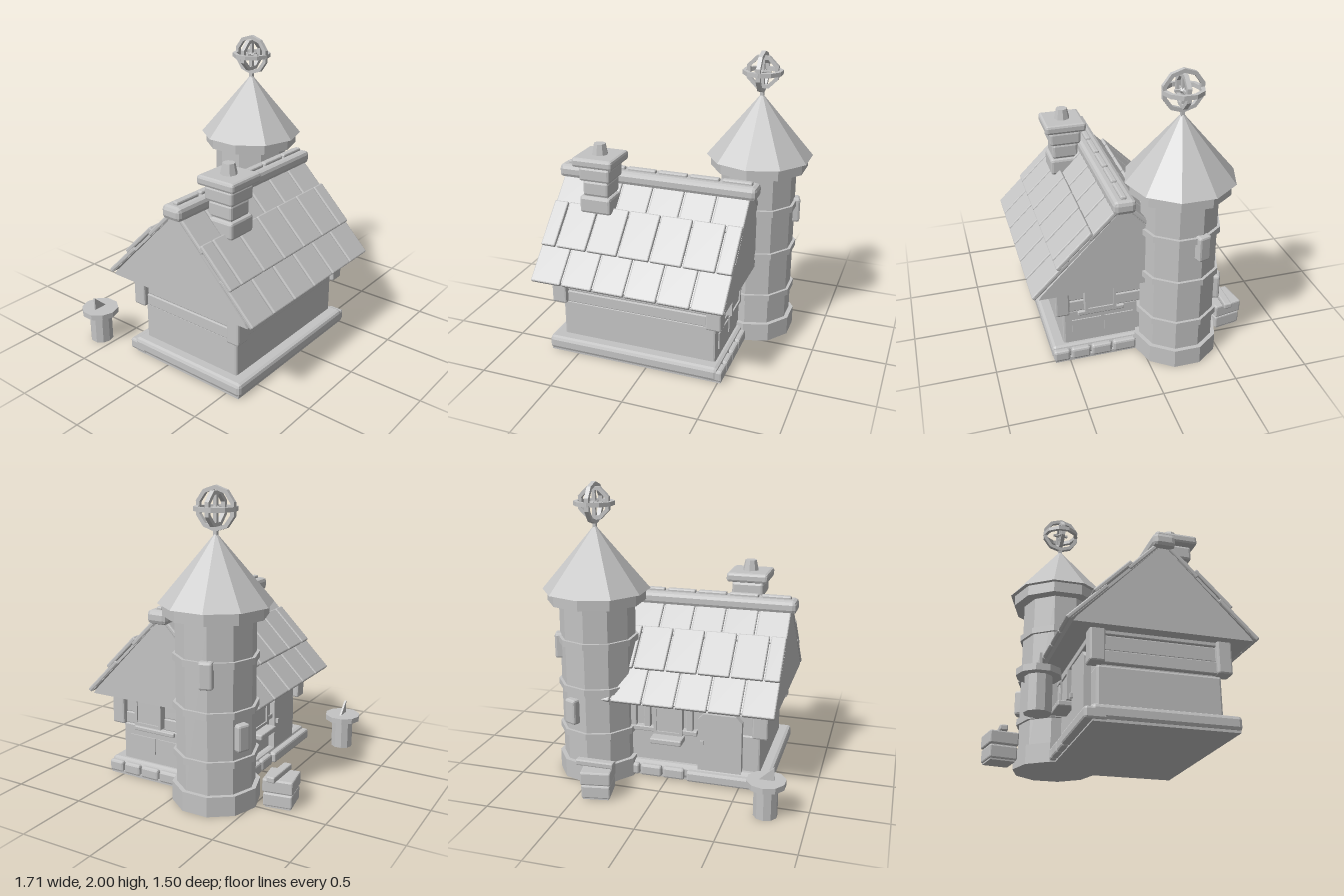
import * as THREE from 'three';
import { RoundedBoxGeometry } from 'three/addons/geometries/RoundedBoxGeometry.js';

const stone = new THREE.MeshStandardMaterial({ color: 0xc4c4c4, flatShading: true });
stone.name = 'plain grey';

function add(parent, name, geometry, x = 0, y = 0, z = 0) {
  const mesh = new THREE.Mesh(geometry, stone);
  mesh.name = name;
  mesh.position.set(x, y, z);
  parent.add(mesh);
  return mesh;
}
function group(parent, name, x = 0, y = 0, z = 0) {
  const g = new THREE.Group();
  g.name = name;
  g.position.set(x, y, z);
  parent.add(g);
  return g;
}
// Box given by its limits, with chamfered edges when bevel > 0
function block(parent, name, x0, x1, y0, y1, z0, z1, bevel = 0) {
  const size = [x1 - x0, y1 - y0, z1 - z0];
  const geo = bevel ? new RoundedBoxGeometry(...size, 1, bevel) : new THREE.BoxGeometry(...size);
  return add(parent, name, geo, (x0 + x1) / 2, (y0 + y1) / 2, (z0 + z1) / 2);
}
// Faceted drum between two heights
function drum(parent, name, rTop, rBottom, y0, y1, sides = 10) {
  return add(parent, name, new THREE.CylinderGeometry(rTop, rBottom, y1 - y0, sides), 0, (y0 + y1) / 2, 0);
}

function buildTower(root) {
  const tower = group(root, 'tower', 0.51, 0, -0.24);
  drum(tower, 'towerBase', 0.285, 0.285, 0, 0.13);
  drum(tower, 'towerShaft', 0.255, 0.255, 0.13, 1.23);
  for (const y of [0.31, 0.625, 0.94]) drum(tower, 'towerBand', 0.275, 0.275, y, y + 0.043);
  drum(tower, 'towerCornice', 0.33, 0.33, 1.22, 1.3);
  drum(tower, 'towerRoof', 0.008, 0.36, 1.297, 1.715);
  // Windows turned round the shaft
  for (const [deg, y] of [[107, 0.905], [157, 0.497]]) {
    const a = THREE.MathUtils.degToRad(deg);
    const w = group(tower, 'towerWindow', Math.sin(a) * 0.255, y, Math.cos(a) * 0.255);
    w.rotation.y = a;
    block(w, 'windowFrame', -0.045, 0.045, -0.088, 0.088, -0.04, 0.035, 0.015);
  }
  // Armillary finial
  const finial = group(tower, 'finial', 0, 1.865, 0);
  const ring = (r, sides, rx, ry) => {
    const s = new THREE.Shape(), hole = new THREE.Path();
    for (let i = 0; i < sides; i++) {
      const a = ((i + 0.5) / sides) * Math.PI * 2;
      s[i ? 'lineTo' : 'moveTo'](r * Math.cos(a), r * Math.sin(a));
      hole[i ? 'lineTo' : 'moveTo']((r - 0.026) * Math.cos(a), (r - 0.026) * Math.sin(a));
    }
    s.holes.push(hole);
    const geo = new THREE.ExtrudeGeometry(s, { depth: 0.028, bevelEnabled: false });
    geo.translate(0, 0, -0.014);
    add(finial, 'finialRing', geo).rotation.set(rx, ry, 0);
  };
  ring(0.138, 10, 0, Math.PI / 2);
  ring(0.135, 10, Math.PI / 2, 0);
  ring(0.115, 8, 0, 0);
  block(finial, 'finialPole', -0.012, 0.012, -0.17, 0.09, -0.012, 0.012);
  block(finial, 'finialArmX', -0.055, 0.055, -0.008, 0.008, -0.008, 0.008);
  block(finial, 'finialArmZ', -0.008, 0.008, -0.008, 0.008, -0.055, 0.055);
  add(finial, 'finialHeart', new THREE.OctahedronGeometry(0.032));
}

function buildRoof(root) {
  // Solid gable prism, run along x
  const s = new THREE.Shape();
  s.moveTo(-0.56, 0.57);
  s.lineTo(0.56, 0.57);
  s.lineTo(0.54, 0.6);
  s.lineTo(0, 1.155);
  s.lineTo(-0.54, 0.6);
  const geo = new THREE.ExtrudeGeometry(s, { depth: 1.31, bevelEnabled: false });
  const gable = add(root, 'gables', geo, -0.745, 0, 0.14);
  gable.rotation.y = Math.PI / 2;

  // Three overlapping tile rows on each 45 degree slope; t runs down the slope
  const pitch = 1.33 / 6;
  for (const side of [1, -1]) {
    const slope = group(root, side > 0 ? 'frontRoofSlope' : 'backRoofSlope', -0.09, 1.175, 0.14);
    slope.rotation.y = side > 0 ? 0 : Math.PI;
    const tilt = group(slope, 'tileRows');
    tilt.rotation.x = Math.PI / 4;
    const tile = (x0, x1, t0, t1, h) => block(tilt, 'roofTile', x0 + 0.005, x1 - 0.005, h, h + 0.03, t0, t1, 0.008);
    for (let i = 0; i < 6; i++) {
      const x = -0.665 + i * pitch;
      tile(x, x + pitch, 0.03, 0.31, -0.012);
      tile(x, x + pitch, 0.5, 0.84, -0.012);
    }
    for (let i = 0; i < 7; i++) {
      const x = -0.665 + (i - 0.5) * pitch;
      tile(Math.max(x, -0.665), Math.min(x + pitch, 0.665), 0.265, 0.59, 0.008);
    }
    block(tilt, 'roofBoard', -0.655, 0.655, -0.014, 0.004, 0.02, 0.82);
  }
  // Ridge
  block(root, 'ridgeBeam', -0.785, 0.61, 1.125, 1.217, 0.068, 0.215, 0.028);
  for (let i = 0; i < 6; i++) {
    const x = -0.75 + i * pitch;
    block(root, 'ridgeTile', x + 0.01, x + pitch - 0.01, 1.2, 1.237, 0.122, 0.162, 0.01);
  }
  // Chimney
  const chimney = group(root, 'chimney', -0.425, 0, 0.305);
  for (const [h, y0, y1] of [[0.11, 0.975, 1.093], [0.092, 1.09, 1.2], [0.11, 1.197, 1.297], [0.143, 1.3, 1.365]])
    block(chimney, 'chimneyCourse', -h, h, y0, y1, -h, h, 0.018);
  block(chimney, 'chimneyNeck', -0.085, 0.085, 0.98, 1.32, -0.085, 0.085);
  drum(chimney, 'chimneyPot', 0.04, 0.056, 1.36, 1.437, 8);
}

function buildHouse(root) {
  // Foundation, with separate stones along the right and back
  block(root, 'foundation', -0.71, 0.5, 0.01, 0.105, -0.3, 0.615, 0.025);
  block(root, 'foundationSole', -0.7, 0.52, 0, 0.025, -0.29, 0.6);
  for (const [z0, z1] of [[0.5, 0.61], [0.36, 0.49], [0.21, 0.35], [0.04, 0.2]])
    block(root, 'sideStone', 0.4, 0.53, 0.01, 0.09, z0, z1, 0.015);
  for (const x of [-0.12, 0.04, 0.2])
    block(root, 'backStone', x, x + 0.15, 0.01, 0.09, -0.33, -0.2, 0.015);
  block(root, 'doorStep', -0.71, -0.14, 0.01, 0.085, -0.34, -0.2, 0.015);

  // Walls
  block(root, 'lowerWall', -0.63, 0.46, 0.09, 0.365, -0.25, 0.53, 0.015);
  block(root, 'upperWall', -0.62, 0.45, 0.34, 0.6, -0.245, 0.525);
  for (const z of [0.49, -0.305])
    for (const x of [-0.685, 0.405])
      block(root, 'cornerPost', x, x + 0.105, 0.365, 0.6, z, z + 0.095, 0.012);
  // Horizontal boards between the posts
  for (const [y0, y1, out] of [[0.37, 0.45, 0.035], [0.45, 0.545, 0.025], [0.545, 0.6, 0.04]]) {
    block(root, 'frontBoard', -0.6, 0.43, y0, y1, 0.5, 0.52 + out, 0.006);
    block(root, 'leftBoard', -0.62 - out, -0.6, y0, y1, -0.22, 0.5, 0.006);
    block(root, 'rightBoard', 0.43, 0.445 + out, y0, y1, -0.22, 0.5, 0.006);
  }
  block(root, 'backBoard', -0.6, 0.43, 0.53, 0.6, -0.285, -0.24, 0.006);

  // Right window and panels
  windowAt(root, 'rightWindow', 0.475, 0.48, 0.285, Math.PI / 2, 0.21, 0.19);
  block(root, 'rightRail', 0.44, 0.48, 0.325, 0.355, 0.11, 0.43, 0.006);
  for (const z of [0.27, 0.045])
    block(root, 'rightPanel', 0.45, 0.468, 0.17, 0.285, z, z + 0.2);
  // Back window, sill and studs
  windowAt(root, 'backWindow', 0.0, 0.42, -0.25, Math.PI, 0.2, 0.2);
  block(root, 'backSill', -0.11, 0.11, 0.27, 0.31, -0.36, -0.25, 0.008);
  for (const x of [-0.17, 0.13, 0.23])
    block(root, 'backStud', x, x + 0.045, 0.33, 0.55, -0.28, -0.24, 0.006);
  block(root, 'backRail', -0.2, 0.4, 0.325, 0.36, -0.285, -0.24, 0.006);

  // Door with clipped top corners
  const d = new THREE.Shape();
  [[-0.15, 0.085], [0.15, 0.085], [0.15, 0.46], [0.11, 0.5], [-0.11, 0.5], [-0.15, 0.46]]
    .forEach(([x, y], i) => d[i ? 'lineTo' : 'moveTo'](x, y));
  const doorGeo = new THREE.ExtrudeGeometry(d, { depth: 0.045, bevelEnabled: false });
  add(root, 'door', doorGeo, -0.36, 0, -0.295);
  block(root, 'doorHandle', -0.25, -0.23, 0.28, 0.31, -0.312, -0.29);
}

// Framed window facing its own +z, turned by angle
function windowAt(root, name, x, y, z, angle, w, h) {
  const g = group(root, name, x, y, z);
  g.rotation.y = angle;
  const bar = 0.02;
  block(g, 'pane', -w / 2 + bar, w / 2 - bar, -h / 2 + bar, h / 2 - bar, -0.02, 0.04);
  for (const s of [-1, 1]) {
    const cx = s * (w - bar) / 2, cy = s * (h - bar) / 2;
    block(g, 'frameSide', cx - bar / 2, cx + bar / 2, -h / 2, h / 2, -0.02, 0.05);
    block(g, 'frameRail', -w / 2, w / 2, cy - bar / 2, cy + bar / 2, -0.02, 0.05);
  }
}

function buildYard(root) {
  // Chopping block with axe head
  const stump = group(root, 'choppingBlock', -0.735, 0, -0.605);
  drum(stump, 'blockPost', 0.078, 0.078, 0, 0.21);
  drum(stump, 'blockTop', 0.127, 0.127, 0.207, 0.245);
  const s = new THREE.Shape();
  s.moveTo(-0.05, 0.235);
  s.lineTo(0.055, 0.235);
  s.lineTo(-0.05, 0.335);
  const blade = new THREE.ExtrudeGeometry(s, { depth: 0.014, bevelEnabled: false });
  add(stump, 'axeHead', blade, 0, 0, -0.007);

  // Crate with a plank resting on it
  const crate = group(root, 'crate', 0.375, 0, -0.64);
  const body = group(crate, 'crateBody');
  body.rotation.y = 0.17;
  block(body, 'crateCore', -0.085, 0.085, 0, 0.18, -0.085, 0.085);
  block(body, 'crateLower', -0.095, 0.095, 0.01, 0.1, -0.095, 0.095, 0.01);
  block(body, 'crateUpper', -0.1, 0.1, 0.105, 0.195, -0.1, 0.1, 0.01);
  block(crate, 'plank', -0.11, 0.15, 0.195, 0.235, -0.02, 0.035, 0.008);
}

export function createModel() {
  const root = new THREE.Group();
  root.name = 'towerCottage';
  buildTower(root);
  buildRoof(root);
  buildHouse(root);
  buildYard(root);
  return root;
}
